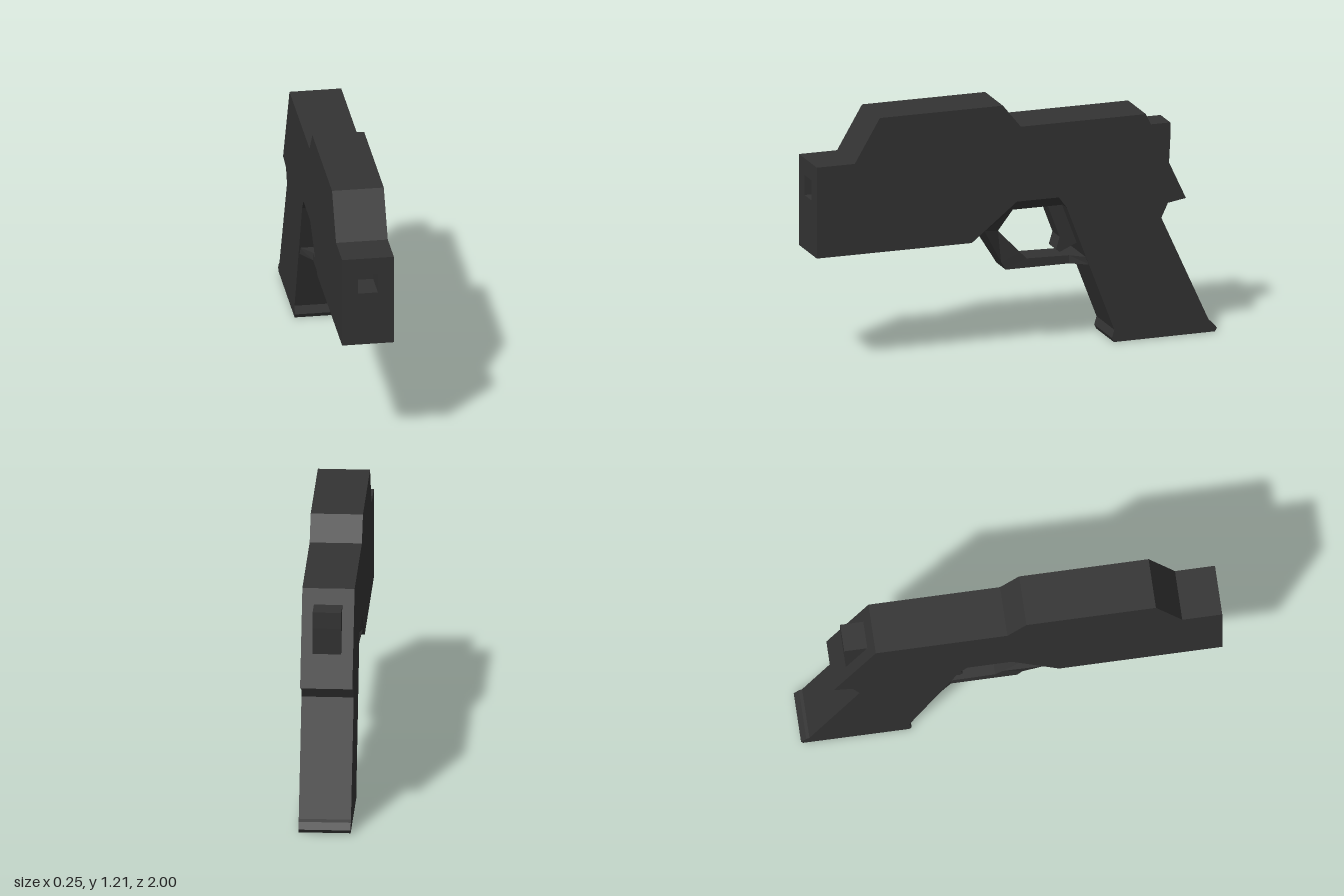
import * as THREE from 'three';

const HALF = 0.123; // half width of the body

const material = new THREE.MeshStandardMaterial({ color: 0x333333, flatShading: true, side: THREE.DoubleSide });

function add(group, name, geometry) {
  const mesh = new THREE.Mesh(geometry, material);
  mesh.name = name;
  group.add(mesh);
  return mesh;
}

const outline = (points) => points.map(([a, b]) => new THREE.Vector2(a, b));

// Side profile of [z, y] points, extruded across x and centred
function sideProfile(points, half) {
  const geometry = new THREE.ExtrudeGeometry(new THREE.Shape(outline(points)), { depth: half * 2, bevelEnabled: false });
  return geometry.translate(0, 0, -half).rotateY(-Math.PI / 2);
}

// Four-sided tube through stations [outerZ, outerY, outerHalf, innerZ, innerY, innerHalf]
function sweep(stations) {
  const rings = stations.map(([oz, oy, ow, iz, iy, iw]) => [[ow, oy, oz], [-ow, oy, oz], [-iw, iy, iz], [iw, iy, iz]]);
  const positions = [];
  for (let i = 0; i < rings.length - 1; i++) {
    for (let j = 0; j < 4; j++) {
      const k = (j + 1) % 4;
      const a = rings[i][j], b = rings[i][k], c = rings[i + 1][k], d = rings[i + 1][j];
      positions.push(...a, ...b, ...c, ...a, ...c, ...d);
    }
  }
  const geometry = new THREE.BufferGeometry();
  geometry.setAttribute('position', new THREE.Float32BufferAttribute(positions, 3));
  geometry.computeVertexNormals();
  return geometry;
}

export function createModel() {
  const model = new THREE.Group();
  model.name = 'pistol';

  // Slide, frame and grip in one slab
  const muzzleBack = 0.85;
  add(model, 'body', sideProfile([
    [muzzleBack, 0.555], [muzzleBack, 1.0], [0.81, 1.0], [0.685, 1.212], [0.07, 1.212], [-0.02, 1.1],
    [-0.645, 1.1], [-0.845, 0.67], [-0.755, 0.655], [-0.722, 0.585],
    [-0.96, 0.06], [-0.975, 0.05], [-1.0, 0.02], [-0.99, 0.003], [-0.485, 0], [-0.475, 0.02], [-0.487, 0.06],
    [-0.25, 0.68], [-0.21, 0.735], [0, 0.735], [0.225, 0.555],
  ], HALF));

  // Front block with the square bore
  const front = new THREE.Shape(outline([[-HALF, 0.555], [HALF, 0.555], [HALF, 1.0], [-HALF, 1.0]]));
  const bore = 0.047;
  front.holes.push(new THREE.Path(outline([[-bore, 0.82], [-bore, 0.918], [bore, 0.918], [bore, 0.82]])));
  add(model, 'muzzle', new THREE.ExtrudeGeometry(front, { depth: 1 - muzzleBack, bevelEnabled: false })
    .translate(0, 0, muzzleBack));

  // Guard loop: chamfered under the frame, narrow in front, flaring into the grip
  add(model, 'triggerGuard', sweep([
    [-0.27, 0.74, HALF - 0.001, -0.27, 0.68, 0.065],
    [0, 0.74, HALF - 0.001, 0, 0.68, 0.065],
    [0.16, 0.605, 0.118, 0.075, 0.585, 0.068],
    [0.059, 0.43, 0.067, -0.035, 0.47, 0.067],
    [0.035, 0.39, 0.066, -0.07, 0.435, 0.066],
    [-0.28, 0.39, 0.066, -0.28, 0.43, 0.066],
    [-0.365, 0.39, 0.121, -0.355, 0.428, 0.121],
    [-0.42, 0.39, 0.121, -0.42, 0.428, 0.121],
  ]));

  add(model, 'trigger', sideProfile([
    [-0.18, 0.7], [-0.18, 0.68], [-0.24, 0.52], [-0.222, 0.46], [-0.24, 0.445], [-0.33, 0.485], [-0.27, 0.7],
  ], 0.05));

  // Block on the sloping back
  add(model, 'hammer', sideProfile([
    [-0.66, 1.03], [-0.787, 1.03], [-0.787, 0.95], [-0.78, 0.82], [-0.74, 0.82],
  ], 0.067));

  return model;
}
